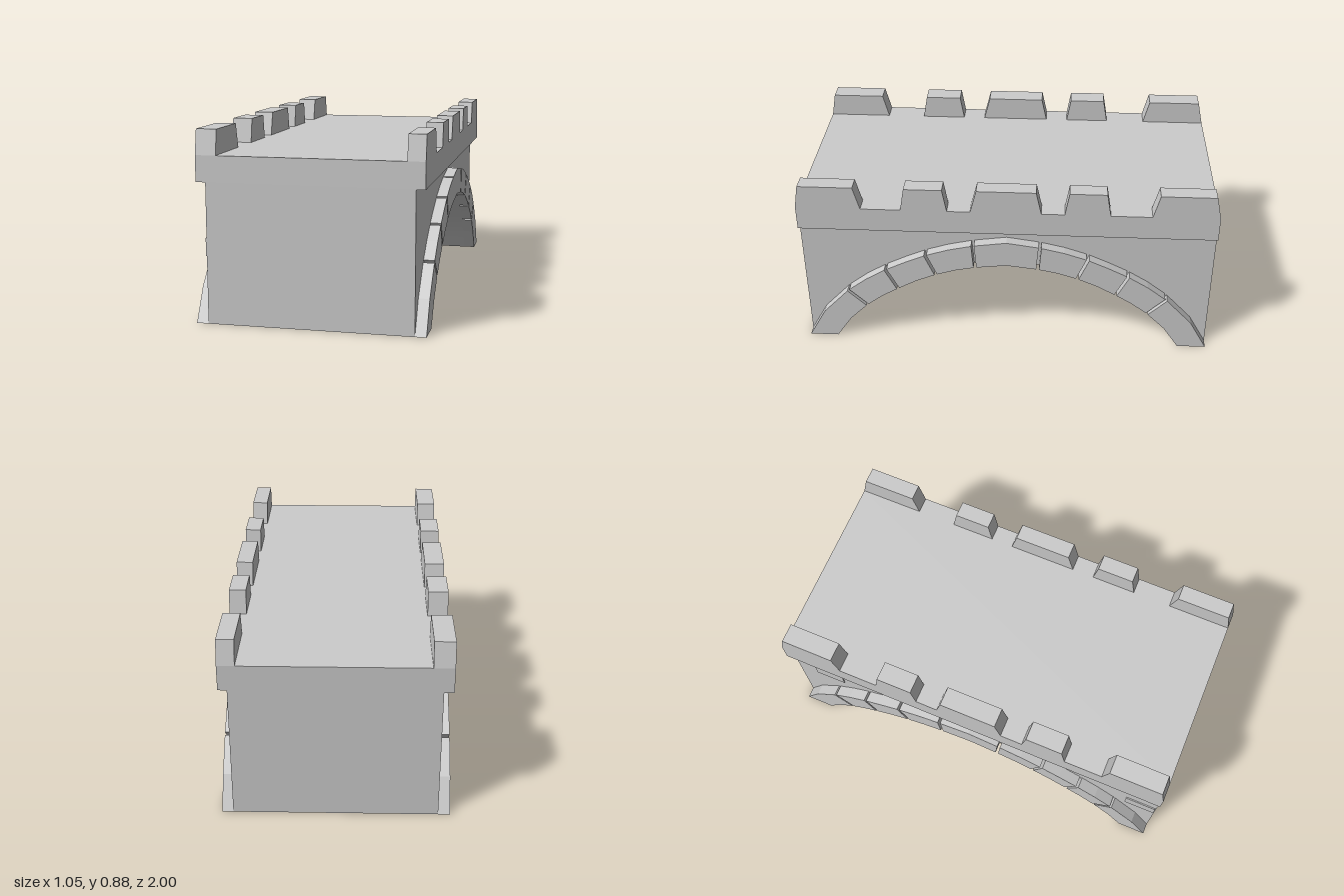
import * as THREE from 'three';
import { toCreasedNormals } from 'three/addons/utils/BufferGeometryUtils.js';

const material = new THREE.MeshStandardMaterial({ color: 0xcccccc });

// Extrude a [z, y] side profile across the bridge from x0 to x1
function slab(name, points, x0, x1, crease = 0) {
  const shape = new THREE.Shape(points.map(([z, y]) => new THREE.Vector2(z, y)));
  let geometry = new THREE.ExtrudeGeometry(shape, { depth: x1 - x0, bevelEnabled: false });
  geometry.rotateY(-Math.PI / 2).translate(x1, 0, 0);
  if (crease) geometry = toCreasedNormals(geometry, crease);
  const mesh = new THREE.Mesh(geometry, material);
  mesh.name = name;
  return mesh;
}

function box(name, x0, x1, y0, y1, z0, z1) {
  const mesh = new THREE.Mesh(new THREE.BoxGeometry(x1 - x0, y1 - y0, z1 - z0), material);
  mesh.position.set((x0 + x1) / 2, (y0 + y1) / 2, (z0 + z1) / 2);
  mesh.name = name;
  return mesh;
}

// Mirror a half arch, ending at its crown, into a full arch
const mirrorArch = (half) => [...half, ...half.slice(0, -1).reverse().map(([z, y]) => [-z, y])];

// Arch ring outlines: even entries are the joints between stones
const outer = mirrorArch([[1, 0], [0.915, 0.15], [0.785, 0.287], [0.69, 0.36], [0.592, 0.42],
  [0.49, 0.47], [0.393, 0.513], [0.28, 0.55], [0.162, 0.577], [0, 0.6]]);
const inner = mirrorArch([[0.86, 0], [0.785, 0.11], [0.695, 0.2], [0.615, 0.26], [0.535, 0.308],
  [0.44, 0.36], [0.345, 0.4], [0.25, 0.43], [0.152, 0.45], [0, 0.468]]);

// Move point a towards b by a fixed distance
function nudge(a, b, distance) {
  const t = distance / Math.hypot(b[0] - a[0], b[1] - a[1]);
  return [a[0] + (b[0] - a[0]) * t, a[1] + (b[1] - a[1]) * t];
}

function archRing(x0, x1) {
  const ring = new THREE.Group();
  ring.name = 'archRing';
  const last = outer.length - 1;
  for (let i = 0; i < last; i += 2) {
    const startGap = i === 0 ? 0 : 0.007;
    const endGap = i + 2 === last ? 0 : 0.007;
    const edge = (p) => [nudge(p[i], p[i + 1], startGap), p[i + 1], nudge(p[i + 2], p[i + 1], endGap)];
    ring.add(slab('archStone', [...edge(outer), ...edge(inner).reverse()], x0, x1));
  }
  return ring;
}

// Merlons as [foot start, top start, top end, foot end] along z
const merlons = [
  [-1, -0.975, -0.715, -0.685], [-0.49, -0.47, -0.295, -0.275], [-0.165, -0.14, 0.14, 0.17],
  [0.28, 0.3, 0.48, 0.5], [0.69, 0.72, 0.98, 1],
];
const DECK = 0.765, LEDGE = 0.645, TOP = 0.88;
const parapetProfile = [[1, LEDGE], [-1, LEDGE],
  ...merlons.flatMap(([a, b, c, d]) => [[a, DECK], [b, TOP], [c, TOP], [d, DECK]])];

export function createModel() {
  const bridge = new THREE.Group();
  bridge.name = 'stoneBridge';

  // Body with a smooth arched underside
  const vault = new THREE.CatmullRomCurve3(
    mirrorArch([[0.86, 0], [0.785, 0.11], [0.695, 0.2], [0.535, 0.308], [0.345, 0.4], [0.155, 0.443], [0, 0.455]])
      .map(([z, y]) => new THREE.Vector3(z, y, 0)),
  ).getPoints(40).map((p) => [p.x, p.y]);
  bridge.add(slab('body', [[1, 0], [1, LEDGE], [-1, LEDGE], [-1, 0], ...vault.reverse()], -0.47, 0.472, 0.4));

  // Road surface between the parapets
  bridge.add(box('deck', -0.42, 0.433, LEDGE, DECK, -1, 1));

  // Crenellated parapets overhanging both sides
  bridge.add(slab('leftParapet', parapetProfile, 0.433, 0.513));
  bridge.add(slab('rightParapet', parapetProfile, -0.515, -0.42));

  // Projecting stones around both arch mouths
  bridge.add(archRing(0.465, 0.523), archRing(-0.525, -0.463));

  // A few raised blocks in the right wall
  for (const [y, z] of [[0.525, -0.84], [0.41, -0.89], [0.31, 0.84]]) {
    bridge.add(box('wallBlock', -0.476, -0.46, y, y + 0.083, z, z + 0.155));
  }
  return bridge;
}
